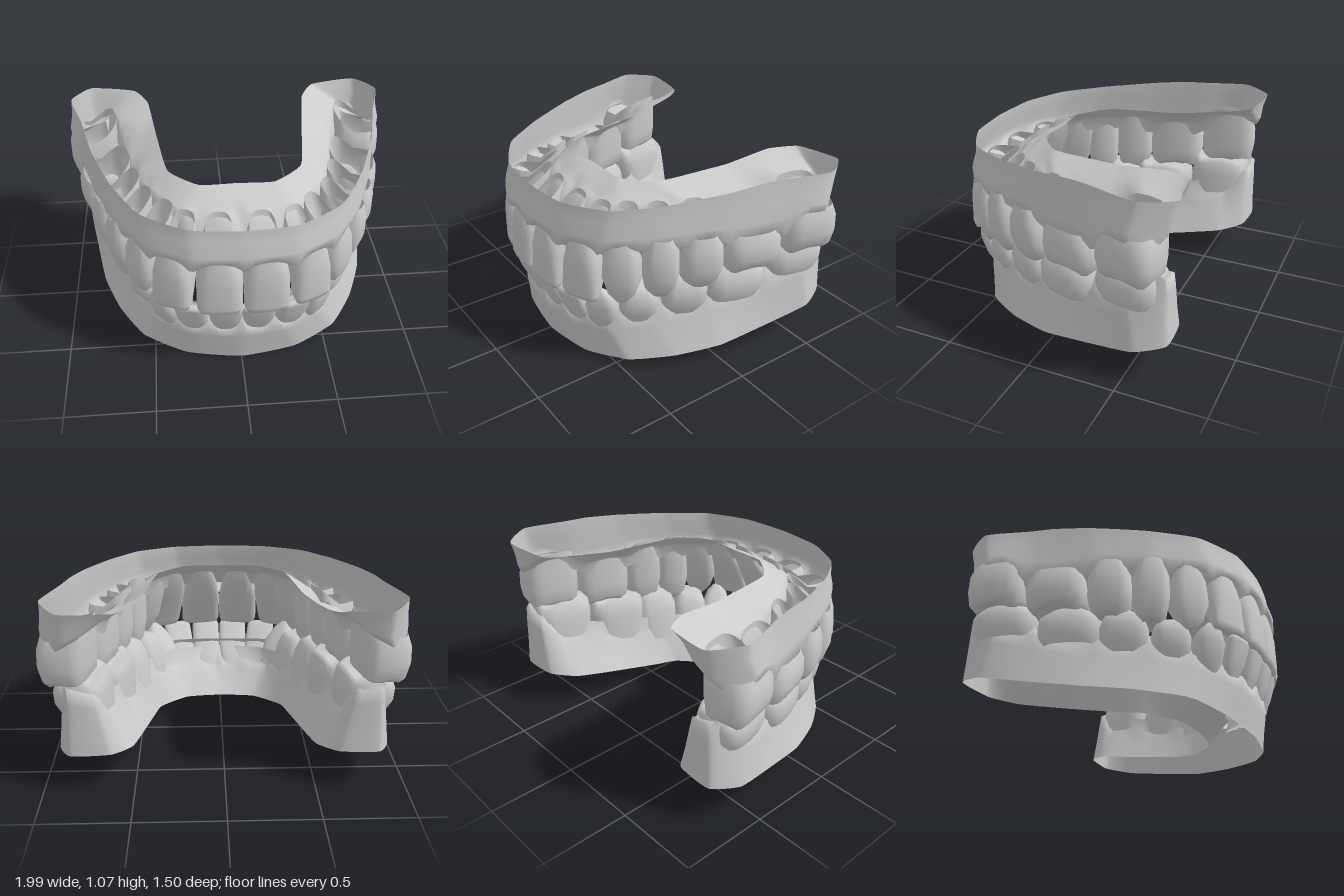
import * as THREE from 'three';

const material = new THREE.MeshStandardMaterial({ color: 0xcccccc, side: THREE.DoubleSide, roughness: 0.8 });

// Skin through closed rings of equal length; an optional centre point closes the last ring.
function loft(rings, centre, flip) {
  const n = rings[0].length, pos = [], idx = [];
  const tri = (a, b, c) => (flip ? idx.push(a, c, b) : idx.push(a, b, c));
  rings.forEach((ring) => ring.forEach((p) => pos.push(p.x, p.y, p.z)));
  for (let r = 0; r < rings.length - 1; r++) {
    for (let i = 0; i < n; i++) {
      const a = r * n + i, b = r * n + ((i + 1) % n);
      tri(a, b, a + n);
      tri(b, b + n, a + n);
    }
  }
  if (centre) {
    const last = (rings.length - 1) * n, c = rings.length * n;
    pos.push(centre.x, centre.y, centre.z);
    for (let i = 0; i < n; i++) tri(last + i, last + ((i + 1) % n), c);
  }
  const geo = new THREE.BufferGeometry();
  geo.setAttribute('position', new THREE.Float32BufferAttribute(pos, 3));
  geo.setIndex(idx);
  geo.computeVertexNormals();
  return geo;
}

// Crown profiles: [height 0 root..1 tip, width, outer reach, inner reach]
const PROFILES = {
  incisor: [[0, 0.6, 0.42, 0.58], [0.2, 0.88, 0.47, 0.5], [0.45, 1, 0.5, 0.24], [0.9, 0.99, 0.47, -0.14], [1, 0.86, 0.42, -0.2]],
  canine: [[0, 0.65, 0.42, 0.58], [0.25, 0.95, 0.5, 0.5], [0.6, 1, 0.5, 0.3], [0.85, 0.7, 0.4, 0.06], [1, 0.25, 0.28, -0.08]],
  premolar: [[0, 0.7, 0.42, 0.54], [0.25, 0.97, 0.5, 0.52], [0.6, 1, 0.5, 0.5], [0.87, 0.82, 0.38, 0.42], [1, 0.45, 0.26, 0.3]],
  molar: [[0, 0.85, 0.42, 0.52], [0.25, 0.98, 0.49, 0.51], [0.6, 1, 0.5, 0.5], [0.88, 0.95, 0.43, 0.46], [1, 0.8, 0.33, 0.37]],
};

// Teeth of one half: [name, type, x, z, yaw, width, depth, root y, tip y, outward lean]
const UPPER = [
  ['CentralIncisor', 'incisor', 0.123, 0.612, 0.06, 0.252, 0.27, 0.81, 0.44, 0.01],
  ['LateralIncisor', 'incisor', 0.348, 0.56, 0.42, 0.23, 0.26, 0.81, 0.45, 0.01],
  ['Canine', 'canine', 0.495, 0.44, 0.8, 0.215, 0.26, 0.82, 0.44, 0.01],
  ['FirstPremolar', 'premolar', 0.605, 0.285, 1.05, 0.205, 0.26, 0.83, 0.47, 0],
  ['SecondPremolar', 'premolar', 0.685, 0.085, 1.18, 0.245, 0.27, 0.82, 0.50, 0],
  ['FirstMolar', 'molar', 0.76, -0.19, 1.3, 0.345, 0.29, 0.79, 0.56, 0],
  ['SecondMolar', 'molar', 0.84, -0.52, 1.36, 0.34, 0.29, 0.87, 0.61, 0],
];
const LOWER = [
  ['CentralIncisor', 'incisor', 0.09, 0.6, 0.04, 0.182, 0.19, 0.22, 0.45, 0.04],
  ['LateralIncisor', 'incisor', 0.266, 0.575, 0.25, 0.182, 0.19, 0.22, 0.45, 0.04],
  ['Canine', 'canine', 0.395, 0.505, 0.75, 0.18, 0.22, 0.22, 0.49, 0.04],
  ['FirstPremolar', 'premolar', 0.5, 0.35, 1.0, 0.22, 0.24, 0.28, 0.5, 0.02],
  ['SecondPremolar', 'premolar', 0.605, 0.13, 1.15, 0.27, 0.26, 0.31, 0.55, 0.02],
  ['FirstMolar', 'molar', 0.69, -0.14, 1.28, 0.36, 0.3, 0.36, 0.57, 0],
  ['SecondMolar', 'molar', 0.77, -0.5, 1.36, 0.36, 0.29, 0.44, 0.64, 0],
];

// Hollow crown, open at the root (longer on the inner side), closed by a shallow pit at the biting end.
function toothGeometry([, type, x, z, yaw, width, depth, y0, y1, lean], side) {
  const place = (u, v, y) => new THREE.Vector3(
    side * (x + u * Math.cos(yaw) + v * Math.sin(yaw)), y, z - u * Math.sin(yaw) + v * Math.cos(yaw));
  const soft = (v) => Math.sign(v) * Math.pow(Math.abs(v), 0.65);
  const SEG = 20;
  const rings = PROFILES[type].map(([t, w, out, inn]) => {
    const mid = (out - inn) / 2 * depth + lean * (2 * t - 1), half = (out + inn) / 2 * depth;
    return Array.from({ length: SEG }, (_, i) => {
      const a = (i / SEG) * Math.PI * 2, c = soft(Math.cos(a)), s = soft(Math.sin(a));
      const cusp = type === 'molar' && t > 0.8 ? 0.012 * Math.cos(4 * a) : 0;
      const shear = (y0 > y1 ? 0.11 : -0.06) * Math.max(0, -s) * (1 - t) ** 2;
      return place(c * w * width / 2, mid + s * half, y0 + (y1 - y0) * t + cusp + shear);
    });
  });
  const [, , out, inn] = PROFILES[type].at(-1);
  const pit = type === 'molar' || type === 'premolar' ? 0.14 : 0;
  const centre = place(0, (out - inn) / 2 * depth + lean, y1 + (y0 - y1) * pit);
  return loft(rings, centre, (side > 0) === (y1 > y0));
}

// Half outlines of the gums: outer front, round the back end, inner front.
const UPPER_RIM = [[0, 0.71], [0.29, 0.68], [0.53, 0.54], [0.68, 0.3], [0.8, 0], [0.88, -0.32], [0.955, -0.58],
  [0.84, -0.75], [0.57, -0.715], [0.485, -0.57], [0.43, -0.2], [0.375, 0.13], [0.21, 0.275], [0, 0.275]];
const UPPER_EDGE = [[0, 0.73], [0.27, 0.705], [0.51, 0.575], [0.67, 0.345], [0.79, 0.045], [0.88, -0.28], [0.965, -0.55],
  [0.86, -0.69], [0.73, -0.68], [0.67, -0.53], [0.6, -0.2], [0.52, 0.1], [0.31, 0.38], [0, 0.45]];
const LOWER_RIM = [[0, 0.635], [0.32, 0.59], [0.56, 0.47], [0.71, 0.25], [0.81, 0], [0.87, -0.3], [0.915, -0.56],
  [0.84, -0.72], [0.62, -0.71], [0.51, -0.57], [0.45, -0.2], [0.39, 0.12], [0.22, 0.29], [0, 0.32]];
const LOWER_EDGE = [[0, 0.665], [0.25, 0.635], [0.46, 0.525], [0.595, 0.34], [0.72, 0.05], [0.82, -0.28], [0.89, -0.52],
  [0.83, -0.7], [0.69, -0.69], [0.62, -0.53], [0.55, -0.2], [0.475, 0.1], [0.3, 0.4], [0, 0.5]];

// Closed loop round the whole arch; height gets the point and its share of the inner wall, 0 to 1.
function outline(half, height) {
  const mirrored = half.slice(1, -1).reverse().map(([x, z]) => [-x, z]);
  const points = [...half, ...mirrored].map(([x, z]) => new THREE.Vector3(x, 0, z));
  const curve = new THREE.CatmullRomCurve3(points, true, 'catmullrom', 0.25);
  return Array.from({ length: 208 }, (_, i) => {
    const p = curve.getPoint(i / 208), k = i / 208 * points.length;
    p.y = height(p, THREE.MathUtils.smoothstep(Math.min(k, points.length - k), 6.7, 8.6));
    return p;
  });
}

const mix = (a, b, t) => a.map(([x, z], i) => [x + (b[i][0] - x) * t, z + (b[i][1] - z) * t]);

// Move a half outline towards (+) or away from (-) the ridge midline.
const inset = (half, d) => half.map(([x, z], i) => {
  const [ox, oz] = half[half.length - 1 - i], len = Math.hypot(ox - x, oz - z);
  return [x + (ox - x) / len * d, z + (oz - z) / len * d];
});

// 0 over the middle of a tooth, 1 in the gap between two teeth.
function gap(teeth, p) {
  let best = 1;
  for (const [, , x, z, yaw, w] of teeth) {
    const dx = Math.abs(p.x) - x, dz = p.z - z;
    best = Math.min(best, Math.abs(dx * Math.cos(yaw) - dz * Math.sin(yaw)) / (w / 2) + 0.4 * Math.max(0, Math.hypot(dx, dz) - 0.25));
  }
  return Math.min(1, best) ** 3;
}

// Piecewise linear height along z, from front to back.
const along = (stops) => ({ z }) => {
  for (let i = 1; i < stops.length; i++) {
    const [za, ya] = stops[i - 1], [zb, yb] = stops[i];
    if (z >= zb) return ya + (yb - ya) * THREE.MathUtils.clamp((za - z) / (za - zb), 0, 1);
  }
  return stops.at(-1)[1];
};

function gumGeometry({ teeth, rim, edge, outerRimY, innerRimY, edgeY, dir, bulge, innerShift }) {
  const rimY = (p, inner) => THREE.MathUtils.lerp(outerRimY(p), innerRimY(p), inner);
  const marginY = (p, inner) => edgeY(p) + innerShift * inner;
  const scallop = (p, inner) => marginY(p, inner) + dir * 0.05 * gap(teeth, p) * (p.z > -0.66);
  const between = (t) => (p, inner) => THREE.MathUtils.lerp(rimY(p, inner), marginY(p, inner), t);
  return loft([
    outline(rim, rimY),
    outline(mix(rim, edge, 0.4), between(0.4)),
    outline(inset(mix(rim, edge, 0.8), -bulge), between(0.78)),
    outline(inset(edge, -bulge * 0.6), scallop),
    outline(inset(edge, 0.04), (p, inner) => scallop(p, inner) + dir * 0.02),
    outline(inset(edge, 0.085), (p, inner) => marginY(p, inner) + dir * (p.z > -0.6 ? 0.11 : 0.03)),
  ], null, dir > 0);
}

export function createModel() {
  const model = new THREE.Group();
  const add = (parent, name, geometry) => {
    const mesh = new THREE.Mesh(geometry, material);
    mesh.name = name;
    parent.add(mesh);
  };
  const lowerRimY = along([[0.635, 0], [0.5, 0.045], [0, 0.095], [-0.3, 0.15], [-0.72, 0.235]]);
  const jaws = [
    {
      name: 'upper', teeth: UPPER, rim: UPPER_RIM, edge: UPPER_EDGE, dir: -1, bulge: 0.02, innerShift: 0.1,
      outerRimY: along([[0.7, 0.985], [0.4, 1.01], [0, 1.05], [-0.2, 1.07], [-0.6, 1.07], [-0.75, 1.06]]),
      innerRimY: along([[0.28, 0.98], [-0.3, 0.995], [-0.57, 1.035], [-0.72, 1.04]]),
      edgeY: along([[0.7, 0.79], [0.1, 0.81], [-0.15, 0.78], [-0.33, 0.79], [-0.45, 0.86], [-0.75, 0.85]]),
    },
    {
      name: 'lower', teeth: LOWER, rim: LOWER_RIM, edge: LOWER_EDGE, dir: 1, bulge: 0.005, innerShift: -0.05,
      outerRimY: lowerRimY, innerRimY: lowerRimY,
      edgeY: along([[0.65, 0.24], [0.3, 0.31], [0, 0.35], [-0.25, 0.38], [-0.45, 0.45], [-0.58, 0.48], [-0.68, 0.62]]),
    },
  ];
  for (const spec of jaws) {
    const jaw = new THREE.Group();
    jaw.name = spec.name + 'Jaw';
    add(jaw, spec.name + 'Gum', gumGeometry(spec));
    for (const side of [1, -1]) {
      for (const tooth of spec.teeth) {
        add(jaw, spec.name + (side > 0 ? 'Left' : 'Right') + tooth[0], toothGeometry(tooth, side));
      }
    }
    model.add(jaw);
  }
  return model;
}
